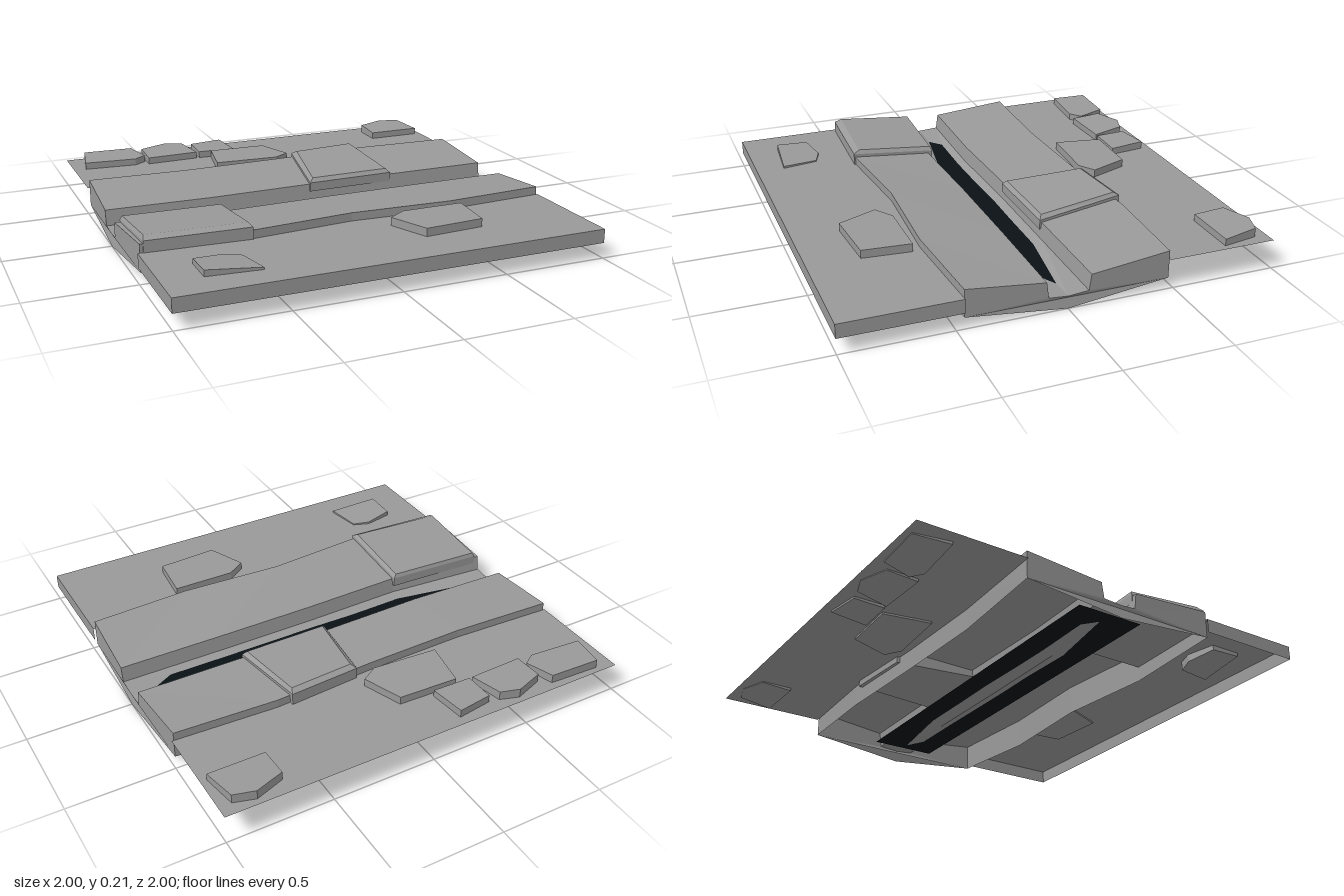
import * as THREE from 'three';

const stone = new THREE.MeshStandardMaterial({ color: 0x999999, flatShading: true, side: THREE.DoubleSide });
const dark = new THREE.MeshStandardMaterial({ color: 0x0a1115, side: THREE.DoubleSide });

// Stations along x, and the wavering edges of the two raised beds at each one
const X = [-1, -0.49, 0, 0.5, 1];
const OUT_B = [-0.48, -0.46, -0.472, -0.502, -0.48];
const IN_B = [-0.105, -0.092, -0.105, -0.105, -0.105];
const IN_F = [0.08, 0.12, 0.105, 0.1, 0.1];
const OUT_F = [0.49, 0.51, 0.467, 0.49, 0.46];
const HEM = [0.05, 0.038, 0.04, 0.034, 0.048];
const CHANNEL = [0.062, 0.036, 0.034, 0.036, 0.06];
const GROUND = 0.139, SKIRT = 0.073, BED_OUT = 0.179, BED_IN = 0.143, FOOT = 0.068;

const same = v => X.map(() => v);
const shift = (a, d) => a.map(v => v + d);
// The raised beds end just short of the ground
const inset = (x, z) => x * (Math.abs(x) === 1 && Math.abs(z) > 0.3 ? 0.99 : 1);
const rail = (y, z) => X.map((x, i) => [x, y[i], z[i]]);
const bedRail = (y, z) => X.map((x, i) => [inset(x, z[i]), y[i], z[i]]);

function mesh(name, geometry, material = stone) {
  const m = new THREE.Mesh(geometry, material);
  m.name = name;
  return m;
}

function fromTriangles(name, pos) {
  const g = new THREE.BufferGeometry();
  g.setAttribute('position', new THREE.Float32BufferAttribute(pos, 3));
  g.computeVertexNormals();
  return mesh(name, g);
}

// Surface drawn through a list of rails
function loft(name, rails) {
  const pos = [];
  for (let r = 0; r < rails.length - 1; r++) {
    for (let i = 0; i < X.length - 1; i++) {
      const a = rails[r][i], b = rails[r + 1][i], c = rails[r + 1][i + 1], d = rails[r][i + 1];
      pos.push(...a, ...b, ...c, ...a, ...c, ...d);
    }
  }
  return fromTriangles(name, pos);
}

// Slab through matching outlines of [x, z]; each layer is [outline, height function]
function slab(name, layers) {
  const pos = [], n = layers[0][0].length;
  const rings = layers.map(([outline, y]) => outline.map(([x, z]) => [x, y(x, z), z]));
  const L = rings[0], H = rings[rings.length - 1];
  for (let i = 0; i < n; i++) {
    const j = (i + 1) % n;
    for (let r = 0; r < rings.length - 1; r++) {
      const a = rings[r], b = rings[r + 1];
      pos.push(...a[i], ...b[i], ...b[j], ...a[i], ...b[j], ...a[j]);
    }
    if (i > 0 && i < n - 1) pos.push(...H[0], ...H[j], ...H[i], ...L[0], ...L[i], ...L[j]);
  }
  return fromTriangles(name, pos);
}

// Closed end of the beds and channel, with a shallow V underneath
function endCap(i) {
  const pts = [
    [OUT_B[i], HEM[i]], [OUT_B[i], BED_OUT], [IN_B[i], BED_IN], [IN_B[i] + 0.01, FOOT], [0, CHANNEL[i]],
    [IN_F[i] - 0.01, FOOT], [IN_F[i], BED_IN], [OUT_F[i], BED_OUT], [OUT_F[i], HEM[i]], [0, 0],
  ];
  const g = new THREE.ShapeGeometry(new THREE.Shape(pts.map(([z, y]) => new THREE.Vector2(-z, y))));
  g.rotateY(Math.PI / 2);
  const p = g.attributes.position;
  for (let k = 0; k < p.count; k++) p.setX(k, inset(X[i], p.getZ(k)));
  g.computeVertexNormals();
  return mesh('endCap', g);
}

export function createModel() {
  const group = new THREE.Group();

  // Ground on both sides; the front one has a skirt
  group.add(loft('backGround', [rail(same(GROUND), same(-1)), rail(same(GROUND), OUT_B)]));
  group.add(loft('frontGround', [
    rail(same(GROUND), OUT_F), rail(same(GROUND), same(1)), rail(same(SKIRT), same(1)),
  ]));
  for (const i of [0, 4]) {
    const depth = 1 - OUT_F[i];
    const g = new THREE.PlaneGeometry(depth, GROUND - SKIRT).rotateY(Math.sign(X[i]) * Math.PI / 2);
    g.translate(X[i], (GROUND + SKIRT) / 2, 1 - depth / 2);
    group.add(mesh('groundSide', g), endCap(i));
  }

  // Raised beds: outer wall, sloping top, inner wall
  const bed = (name, out, inn, s) => loft(name, [
    bedRail(HEM, out), bedRail(same(BED_OUT), out), bedRail(same(BED_IN), inn),
    bedRail(same(FOOT), shift(inn, -0.01 * s)),
  ]);
  group.add(bed('backBed', OUT_B, IN_B, -1), bed('frontBed', OUT_F, IN_F, 1));

  // Channel between the beds, dipping below a dark sheet
  group.add(loft('channel', [
    rail(same(FOOT), shift(IN_B, 0.01)), rail(CHANNEL, same(0)), rail(same(FOOT), shift(IN_F, -0.01)),
  ]));
  const sheet = new THREE.PlaneGeometry(1.84, 0.33).rotateX(-Math.PI / 2).translate(0, 0.054, 0);
  group.add(mesh('darkSheet', sheet, dark));

  // Raised slabs lying across the beds, with bevelled rims
  const top = (x, z) => 0.164 + 0.096 * Math.abs(z);
  const rim = (x, z) => top(x, z) - 0.018;
  const bedSlab = (name, outer, inner) => slab(name, [[outer, () => 0.11], [outer, rim], [inner, top]]);
  group.add(bedSlab('frontBedSlab',
    [[-0.975, 0.078], [-0.49, 0.1], [-0.49, 0.517], [-0.975, 0.495]],
    [[-0.965, 0.085], [-0.503, 0.107], [-0.503, 0.488], [-0.965, 0.462]]));
  group.add(bedSlab('backBedSlab',
    [[0.03, -0.088], [0.09, -0.492], [0.435, -0.518], [0.475, -0.095]],
    [[0.05, -0.105], [0.11, -0.468], [0.425, -0.492], [0.455, -0.11]]));

  // Loose flat stones set in the ground: outline, top height, slope along x and z
  const stones = [
    [[[-0.91, -0.97], [-0.66, -0.96], [-0.62, -0.82], [-0.68, -0.78], [-0.94, -0.8]], 0.176, 0, -0.05],
    [[[-0.61, -0.92], [-0.47, -0.97], [-0.38, -0.94], [-0.345, -0.78], [-0.61, -0.77]], 0.178, 0, -0.06],
    [[[-0.33, -0.93], [-0.16, -0.955], [-0.14, -0.775], [-0.33, -0.78]], 0.174, 0, -0.03],
    [[[0.7, -0.92], [0.84, -0.97], [0.94, -0.94], [0.97, -0.77], [0.7, -0.77]], 0.178, 0, -0.06],
    [[[-0.27, -0.76], [0.02, -0.75], [0.09, -0.56], [0.01, -0.51], [-0.31, -0.53]], 0.177, 0, 0],
    [[[0.14, 0.59], [0.23, 0.53], [0.53, 0.53], [0.51, 0.76], [0.22, 0.78]], 0.178, 0, 0],
    [[[-0.82, 0.69], [-0.68, 0.66], [-0.6, 0.69], [-0.57, 0.865], [-0.82, 0.845]], 0.155, -0.08, 0.04],
  ];
  for (const [outline, y, sx, sz] of stones) {
    const cx = outline.reduce((s, p) => s + p[0], 0) / outline.length;
    const cz = outline.reduce((s, p) => s + p[1], 0) / outline.length;
    const upper = (x, z) => y + sx * (x - cx) + sz * (z - cz);
    group.add(slab('flatStone', [[outline, (x, z) => upper(x, z) - 0.047], [outline, upper]]));
  }
  return group;
}
